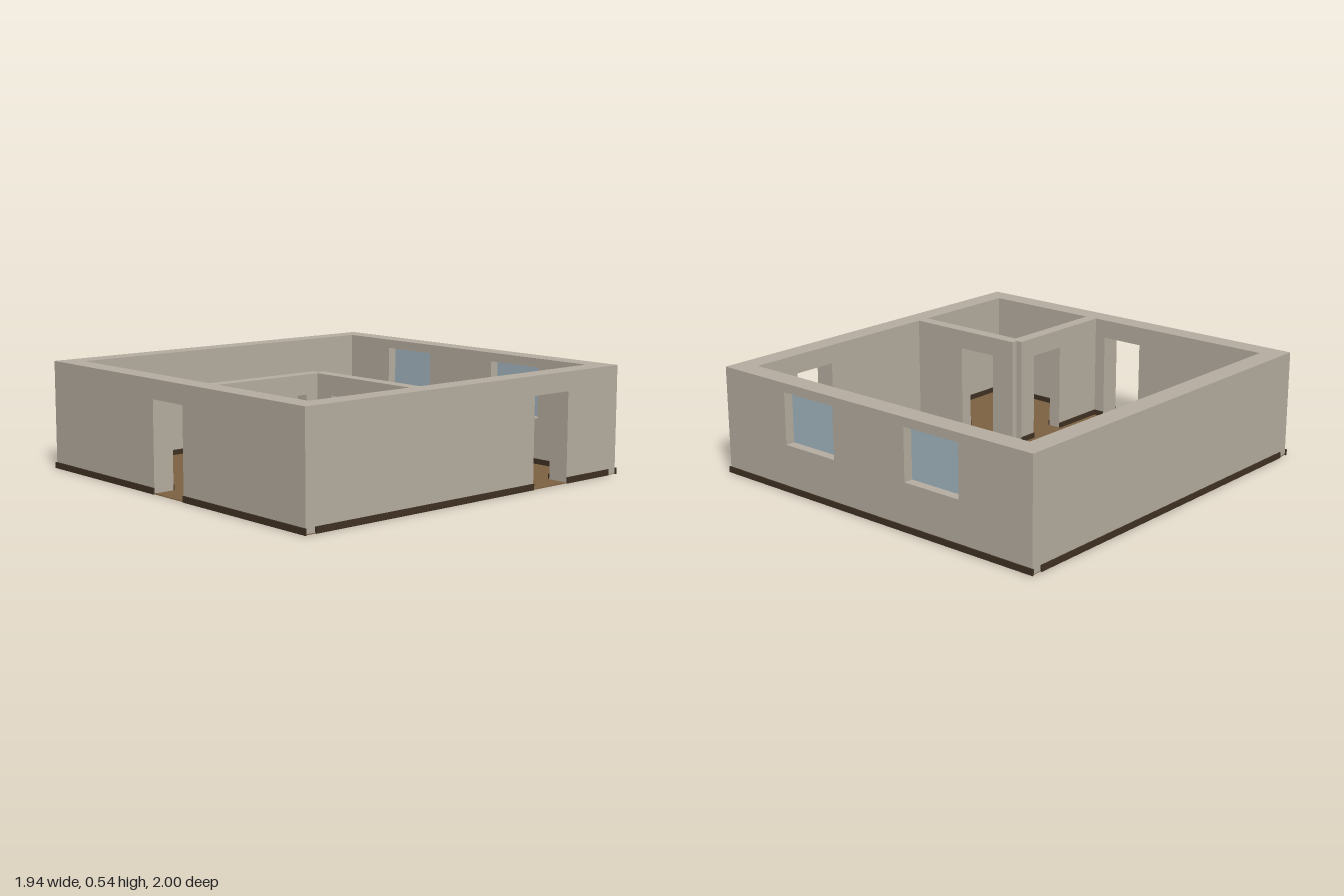
import * as THREE from 'three';

const wallMat = new THREE.MeshStandardMaterial({ color: 0xb5ada0 });
const floorMat = new THREE.MeshStandardMaterial({ color: 0x7d6142 });
const skirtingMat = new THREE.MeshStandardMaterial({ color: 0x3f3122 });
const glassMat = new THREE.MeshStandardMaterial({ color: 0xa3b6c0 });

const TOP = 0.54, BASE = 0.002, DOOR = 0.445;
const OX = 0.965, IX = 0.857, OZ = 0.993, IZ = 0.885; // outer and inner wall faces
const SKIRT_H = 0.03, SKIRT_T = 0.007;

// Places geometry drawn along x so that it runs along x or z, at offset c.
function place(mesh, axis, c) {
  if (axis === 'x') mesh.position.z = c;
  else { mesh.rotation.y = -Math.PI / 2; mesh.position.x = c; }
  return mesh;
}

// Wall between faces c0 and c1, running from a to b, with door notches and window holes.
function makeWall(name, axis, c0, c1, a, b, doors = [], windows = []) {
  const group = new THREE.Group();
  group.name = name;
  const shape = new THREE.Shape();
  shape.moveTo(a, BASE);
  for (const [d0, d1] of doors) {
    shape.lineTo(d0, BASE);
    shape.lineTo(d0, DOOR);
    shape.lineTo(d1, DOOR);
    shape.lineTo(d1, BASE);
  }
  shape.lineTo(b, BASE);
  shape.lineTo(b, TOP);
  shape.lineTo(a, TOP);
  shape.closePath();
  const c = (c0 + c1) / 2, depth = Math.abs(c1 - c0);
  for (const [x0, x1, y0, y1] of windows) {
    const hole = new THREE.Path();
    hole.moveTo(x0, y0);
    hole.lineTo(x0, y1);
    hole.lineTo(x1, y1);
    hole.lineTo(x1, y0);
    hole.closePath();
    shape.holes.push(hole);
    const pane = new THREE.Mesh(new THREE.BoxGeometry(x1 - x0, y1 - y0, 0.01), glassMat);
    pane.geometry.translate((x0 + x1) / 2, (y0 + y1) / 2, 0);
    pane.name = 'windowPane';
    group.add(place(pane, axis, c));
  }
  const geo = new THREE.ExtrudeGeometry(shape, { depth, bevelEnabled: false });
  geo.translate(0, 0, -depth / 2);
  const body = new THREE.Mesh(geo, wallMat);
  body.name = 'wallBody';
  group.add(place(body, axis, c));
  return group;
}

// Skirting boards on a wall face, one strip per [start, end]; side is the outward direction.
function makeSkirting(axis, face, side, strips) {
  const group = new THREE.Group();
  group.name = 'skirting';
  for (const [a, b] of strips) {
    const geo = new THREE.BoxGeometry(b - a, SKIRT_H, SKIRT_T);
    geo.translate((a + b) / 2, SKIRT_H / 2, 0);
    const strip = new THREE.Mesh(geo, skirtingMat);
    strip.name = 'skirtingBoard';
    group.add(place(strip, axis, face + side * SKIRT_T / 2));
  }
  return group;
}

export function createModel() {
  const model = new THREE.Group();
  model.name = 'house';

  // Floor slab
  const floor = new THREE.Mesh(new THREE.BoxGeometry(OX * 2, 0.004, OZ * 2), floorMat);
  floor.position.y = 0.002;
  floor.name = 'floor';
  model.add(floor);

  // Openings
  const front = [-0.12, 0.11], side = [-0.635, -0.4];
  const hall = [0.335, 0.55], room = [0.37, 0.58];
  const windows = [[-0.55, -0.225, 0.235, 0.495], [0.225, 0.55, 0.235, 0.495]];

  // Outer walls
  model.add(
    makeWall('frontWall', 'x', IZ, OZ, -OX, OX, [front]),
    makeWall('backWall', 'x', -OZ, -IZ, -OX, OX, [], windows),
    makeWall('leftWall', 'z', IX, OX, -IZ, IZ, [side]),
    makeWall('rightWall', 'z', -OX, -IX, -IZ, IZ)
  );

  // Partitions of the small corner room
  const PX0 = 0.17, PX1 = 0.235, PZ0 = 0.237, PZ1 = 0.302;
  model.add(
    makeWall('partitionAcross', 'x', PZ0, PZ1, 0.2025, IX, [hall]),
    makeWall('partitionAlong', 'z', PX0, PX1, 0.27, IZ, [room])
  );

  // Outside skirting
  model.add(
    makeSkirting('x', OZ, 1, [[-OX - SKIRT_T, front[0]], [front[1], OX + SKIRT_T]]),
    makeSkirting('x', -OZ, -1, [[-OX - SKIRT_T, OX + SKIRT_T]]),
    makeSkirting('z', OX, 1, [[-0.94, side[0]], [side[1], 0.94]]),
    makeSkirting('z', -OX, -1, [[-0.94, 0.94]])
  );

  // Inside skirting
  model.add(
    makeSkirting('x', IZ, -1, [[-IX, front[0]], [front[1], PX0], [PX1, IX]]),
    makeSkirting('x', -IZ, 1, [[-IX, IX]]),
    makeSkirting('z', IX, -1, [[-IZ, side[0]], [side[1], PZ0], [PZ1, IZ]]),
    makeSkirting('z', -IX, 1, [[-IZ, IZ]]),
    makeSkirting('x', PZ0, -1, [[0.2025, hall[0]], [hall[1], IX]]),
    makeSkirting('x', PZ1, 1, [[PX1, hall[0]], [hall[1], IX]]),
    makeSkirting('z', PX0, -1, [[0.27, room[0]], [room[1], IZ]]),
    makeSkirting('z', PX1, 1, [[PZ1, room[0]], [room[1], IZ]])
  );

  return model;
}
